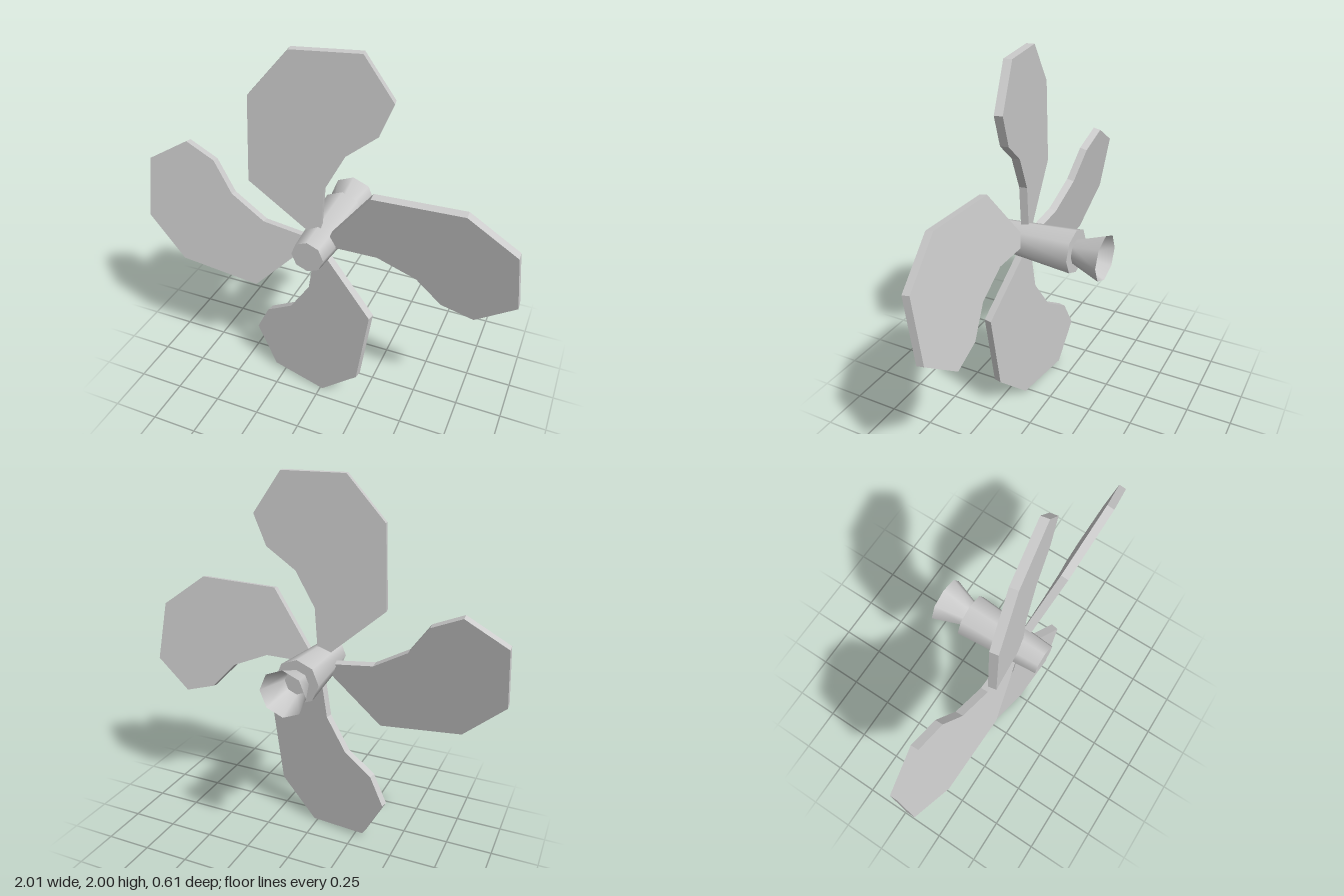
import * as THREE from 'three';

const CENTER = [-0.01, 0.995, 0]; // hub axis runs along z
const PITCH = 0.185;              // blade twist about its own radius
const THICKNESS = 0.042;

export function createModel() {
  const model = new THREE.Group();
  model.name = 'propeller';
  const material = new THREE.MeshStandardMaterial({ color: 0xcccccc });
  const thin = new THREE.MeshStandardMaterial({ color: 0xcccccc, side: THREE.DoubleSide });

  // Eight-sided tapered section along z
  function section(name, rFront, rBack, zFront, zBack, open, mat) {
    const geo = new THREE.CylinderGeometry(rFront, rBack, zFront - zBack, 8, 1, open);
    geo.rotateX(Math.PI / 2);
    geo.translate(0, 0, (zFront + zBack) / 2);
    const mesh = new THREE.Mesh(geo, mat);
    mesh.name = name;
    mesh.position.set(...CENTER);
    model.add(mesh);
  }
  section('hub', 0.085, 0.121, 0.305, -0.145, false, material);
  section('tailCone', 0.067, 0.126, -0.145, -0.305, true, thin);

  // Hooked blade outline, hub at the origin and tip towards +y
  const outline = [
    [-0.342, 0.32], [-0.06, 0.07], [0.01, 0.07], [0.027, 0.31], [0.128, 0.503],
    [0.278, 0.62], [0.342, 0.785], [0.2, 1.0], [-0.124, 0.995], [-0.32, 0.765],
  ].map(([x, y]) => new THREE.Vector2(x / Math.cos(PITCH), y));
  const bladeGeo = new THREE.ExtrudeGeometry(new THREE.Shape(outline), {
    depth: THICKNESS, bevelEnabled: false,
  });
  bladeGeo.translate(0, 0, -THICKNESS / 2);
  bladeGeo.rotateY(PITCH);
  bladeGeo.translate(0, 0, 0.15);

  // Slightly uneven spacing around the hub
  const blades = { topBlade: 0, rightBlade: 87, bottomBlade: 174.5, leftBlade: 274.3 };
  for (const [name, angle] of Object.entries(blades)) {
    const blade = new THREE.Mesh(bladeGeo, material);
    blade.name = name;
    blade.position.set(...CENTER);
    blade.rotation.z = THREE.MathUtils.degToRad(angle);
    model.add(blade);
  }
  return model;
}
